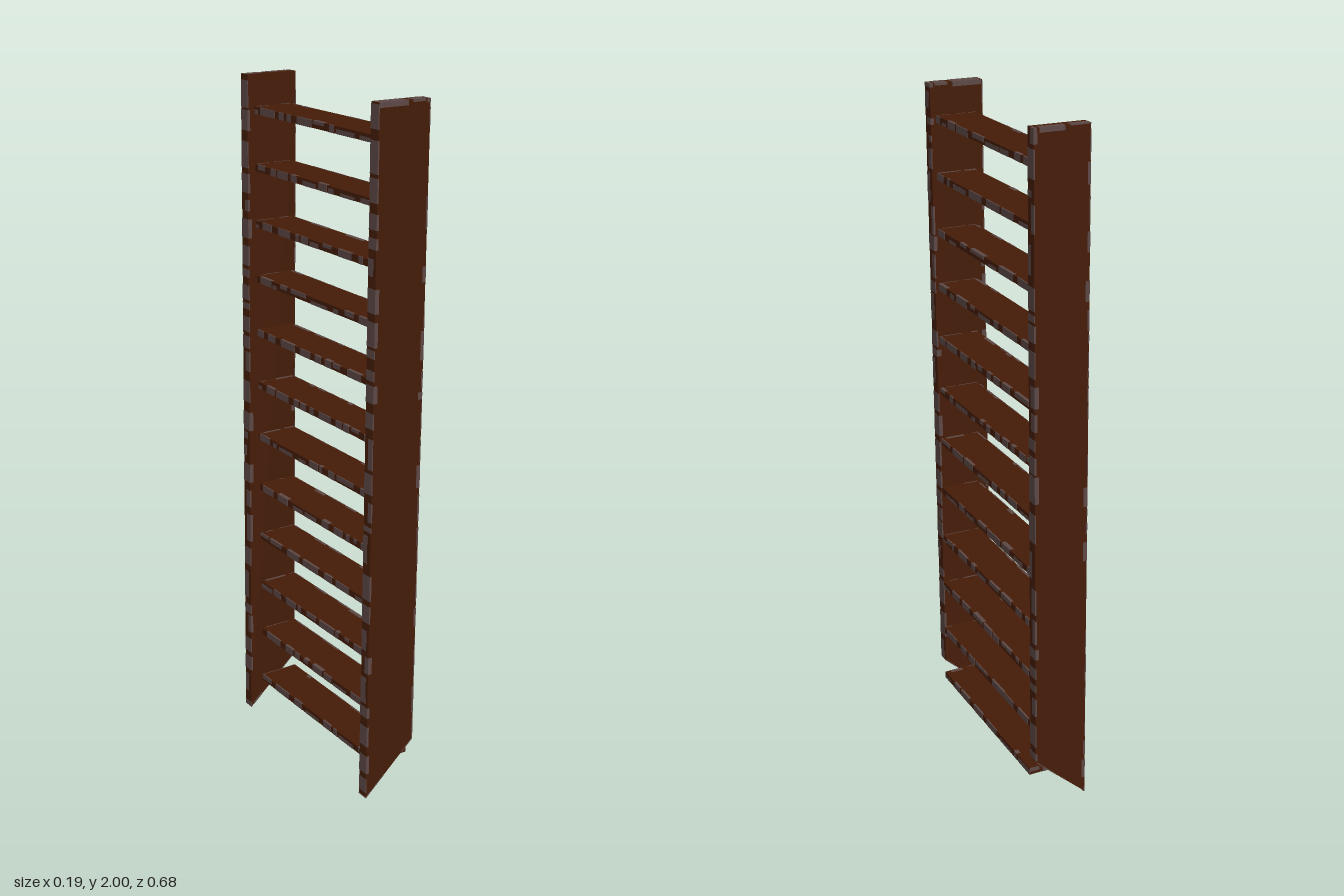
import * as THREE from 'three';
import { mergeGeometries } from 'three/addons/utils/BufferGeometryUtils.js';

export function createModel() {
  const ladder = new THREE.Group();
  ladder.name = 'ladder';

  const wood = new THREE.MeshStandardMaterial({ color: 0x451c07 });
  wood.name = 'dark brown wood';
  const worn = new THREE.MeshStandardMaterial({ color: 0x5c4845 });
  worn.name = 'worn grey edge';

  let seed = 7;
  const random = (min, max) => {
    seed = (seed * 16807) % 2147483647;
    return min + (max - min) * (seed / 2147483647);
  };

  // Ragged worn patches wrapped over the edge from a to b of a board
  function edgeWear(a, b, thickness) {
    const run = b.clone().sub(a);
    const length = run.length();
    const patches = [];
    let start = random(0, 0.02);
    while (start < length - 0.01) {
      const end = Math.min(start + random(0.015, 0.09), length);
      const depth = 0.003 + 0.011 * random(0, 1) ** 3;
      // Most patches span the edge, some only one of its corners
      const share = random(0, 1) < 0.65 ? 1 : random(0.4, 0.7);
      const corner = random(0, 1) < 0.5 ? 1 : -1;
      const patch = new THREE.BoxGeometry(end - start, depth, thickness * share + 0.001);
      patch.translate((start + end) / 2, depth / 2 - 0.0006, corner * thickness * (1 - share) / 2);
      patches.push(patch);
      start = end + random(0.005, 0.035);
    }
    const mesh = new THREE.Mesh(mergeGeometries(patches), worn);
    mesh.name = 'wornEdge';
    mesh.position.set(a.x, a.y, 0);
    mesh.rotation.z = run.angle();
    return mesh;
  }

  // A flat board from its counterclockwise outline, with wear on every edge
  function board(name, points, thickness) {
    const group = new THREE.Group();
    group.name = name;
    const corners = points.map(([x, y]) => new THREE.Vector2(x, y));
    const geometry = new THREE.ExtrudeGeometry(new THREE.Shape(corners), { depth: thickness, bevelEnabled: false });
    geometry.translate(0, 0, -thickness / 2);
    const plank = new THREE.Mesh(geometry, wood);
    plank.name = 'plank';
    group.add(plank);
    corners.forEach((corner, i) => {
      group.add(edgeWear(corner, corners[(i + 1) % corners.length], thickness));
    });
    ladder.add(group);
    return group;
  }

  // Side rails: slightly leaning boards with an angled foot
  const railOutline = [[-0.092, 0], [0.071, 0.147], [0.091, 2], [-0.07, 2]];
  for (const side of [1, -1]) {
    const rail = board(side > 0 ? 'frontRail' : 'backRail', railOutline, 0.034);
    rail.position.z = side * 0.323;
  }

  // Flat treads, evenly spaced between the rails
  const treadOutline = [[-0.06, -0.306], [0.061, -0.306], [0.061, 0.306], [-0.06, 0.306]];
  const count = 12;
  for (let i = 0; i < count; i++) {
    const tread = board(`tread${i + 1}`, treadOutline, 0.02);
    tread.rotation.x = Math.PI / 2;
    tread.position.set(0.012, 0.095 + (i * 1.805) / (count - 1), 0);
  }

  return ladder;
}
